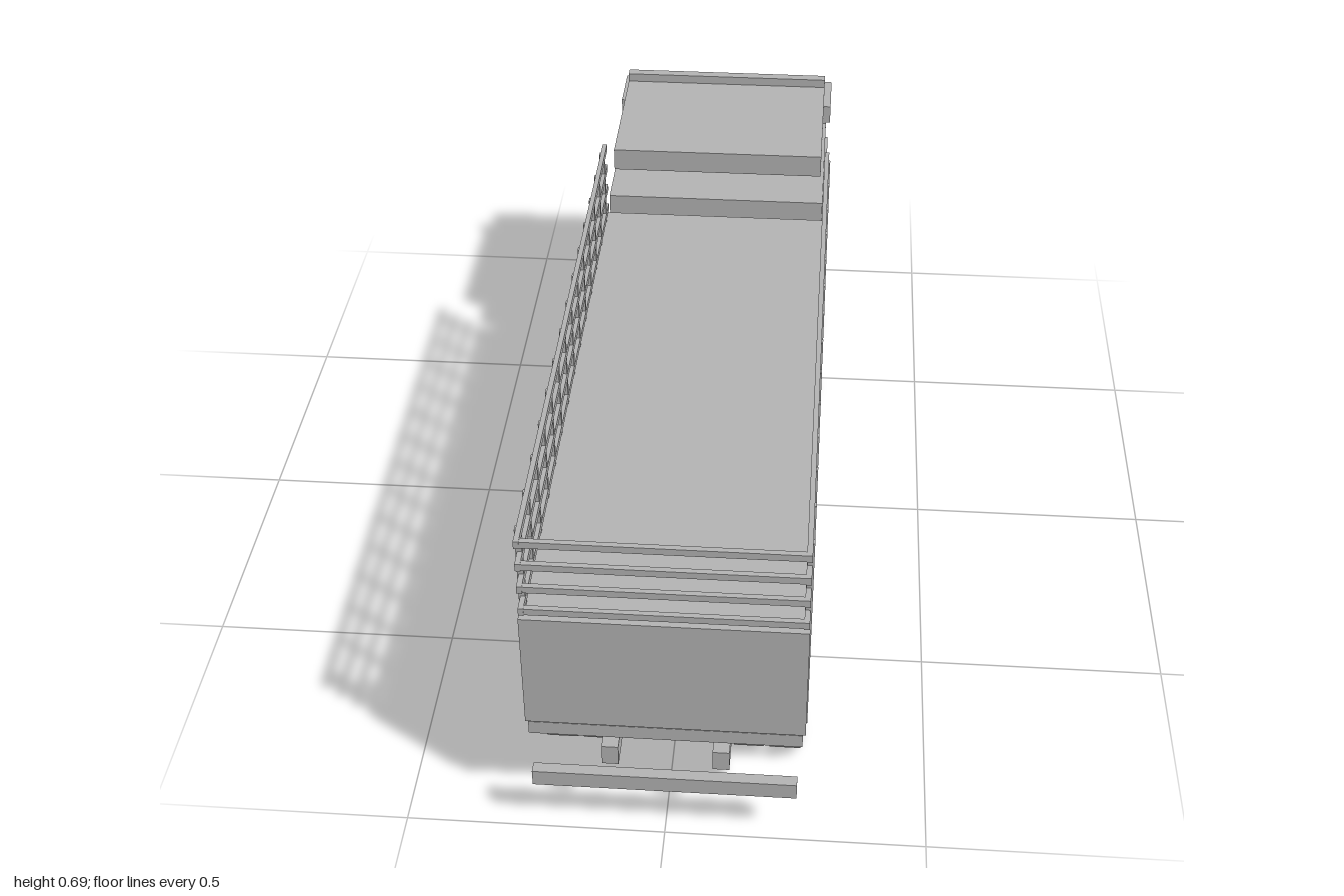
import * as THREE from 'three';

export function createModel() {
  const truck = new THREE.Group();
  truck.name = 'truck';
  const grey = new THREE.MeshStandardMaterial({ color: 0xb3b3b3, flatShading: true, side: THREE.DoubleSide });
  grey.name = 'plain grey';

  const add = (name, geometry, parent = truck) => {
    const mesh = new THREE.Mesh(geometry, grey);
    mesh.name = name;
    parent.add(mesh);
    return mesh;
  };
  // Box given by its low and high limits on each axis
  const box = (name, x0, x1, y0, y1, z0, z1, parent) => {
    const mesh = add(name, new THREE.BoxGeometry(x1 - x0, y1 - y0, z1 - z0), parent);
    mesh.position.set((x0 + x1) / 2, (y0 + y1) / 2, (z0 + z1) / 2);
    return mesh;
  };
  // Cylinder lying along z
  const drum = (name, r, z0, z1, x, y) => {
    const mesh = add(name, new THREE.CylinderGeometry(r, r, z1 - z0, 20).rotateX(Math.PI / 2));
    mesh.position.set(x, y, (z0 + z1) / 2);
    return mesh;
  };

  // Chassis; the cab end points to -z
  for (const s of [-1, 1]) box('chassisRail', s * 0.105 - 0.016, s * 0.105 + 0.016, 0.145, 0.19, -1, 0.965);
  box('rearBumper', -0.25, 0.25, 0.115, 0.15, 0.977, 1);
  box('frontBumper', -0.26, 0.26, 0.115, 0.189, -0.967, -0.905);
  box('bumperStep', -0.041, 0.041, 0.095, 0.117, -0.967, -0.905);

  // Tanks and toolbox
  drum('fuelTank', 0.058, -0.2, 0.09, -0.204, 0.16);
  drum('airTank', 0.033, 0.015, 0.205, 0.215, 0.168);
  box('toolbox', 0.14, 0.255, 0.132, 0.205, -0.185, -0.015);

  // Cab
  box('cab', -0.25, 0.25, 0.19, 0.545, -0.93, -0.445);
  box('sunVisor', -0.26, 0.26, 0.548, 0.592, -0.96, -0.83);
  box('visorBase', -0.25, 0.25, 0.54, 0.592, -0.86, -0.83);
  box('roofBox', -0.243, 0.243, 0.585, 0.637, -0.865, -0.5);
  box('roofLip', -0.243, 0.243, 0.63, 0.657, -0.868, -0.845);
  for (const s of [-1, 1]) {
    box('windscreen', s * 0.12 - 0.105, s * 0.12 + 0.105, 0.37, 0.53, -0.936, -0.929);
    box('sideWindow', s * 0.252 - 0.004, s * 0.252 + 0.004, 0.385, 0.515, -0.815, -0.62);
    const lamp = add('headlight', new THREE.CylinderGeometry(0.026, 0.026, 0.008, 20).rotateX(Math.PI / 2));
    lamp.position.set(s * 0.19, 0.265, -0.943);
  }
  box('grillePanel', -0.225, 0.225, 0.22, 0.325, -0.94, -0.929);
  const badge = add('roundBadge', new THREE.TorusGeometry(0.026, 0.004, 8, 24));
  badge.position.set(0, 0.295, -0.942);

  // Cargo body
  box('cargoFloor', -0.257, 0.257, 0.217, 0.247, -0.435, 0.965);
  box('cargoBody', -0.255, 0.255, 0.247, 0.508, -0.43, 0.958);
  box('tailgate', -0.262, 0.262, 0.25, 0.508, 0.955, 0.967);

  // Stake rails along both sides and across the tail
  const rack = new THREE.Group();
  rack.name = 'stakeRack';
  truck.add(rack);
  for (const y of [0.524, 0.577, 0.63, 0.682]) {
    for (const s of [-1, 1]) box('sideRail', s * 0.256 - 0.005, s * 0.256 + 0.005, y - 0.008, y + 0.008, -0.43, 0.965, rack);
    box('tailRail', -0.256, 0.256, y - 0.007, y + 0.007, 0.953, 0.964, rack);
  }
  for (let i = 0; i < 14; i++) {
    const z = 0.925 - i * 0.1012;
    for (const s of [-1, 1]) box('stake', s * 0.258 - 0.006, s * 0.258 + 0.006, 0.247, 0.688, z - 0.006, z + 0.006, rack);
  }

  // Wheels made of open rings: tyre, rim and hub
  const wheel = (name, s, x0, x1, z, hubEnd) => {
    const group = new THREE.Group();
    group.name = name;
    truck.add(group);
    const ring = (part, r, a, b) => {
      const g = new THREE.CylinderGeometry(r, r, b - a, 16, 1, true).rotateZ(Math.PI / 2);
      add(part, g, group).position.set(s * (a + b) / 2, 0.108, z);
    };
    ring('tyre', 0.108, x0, x1);
    ring('rim', 0.062, x0 + 0.01, x1 - 0.002);
    ring('hubRing', 0.04, x1 - 0.02, x1);
    ring('hub', 0.023, x1 - 0.03, hubEnd);
  };
  for (const s of [-1, 1]) {
    for (const z of [-0.735, -0.456]) wheel('frontWheel', s, 0.192, 0.253, z, 0.259);
    for (const z of [0.44, 0.717]) {
      wheel('rearOuterWheel', s, 0.192, 0.253, z, 0.259);
      wheel('rearInnerWheel', s, 0.121, 0.18, z, 0.185);
    }
  }
  return truck;
}
